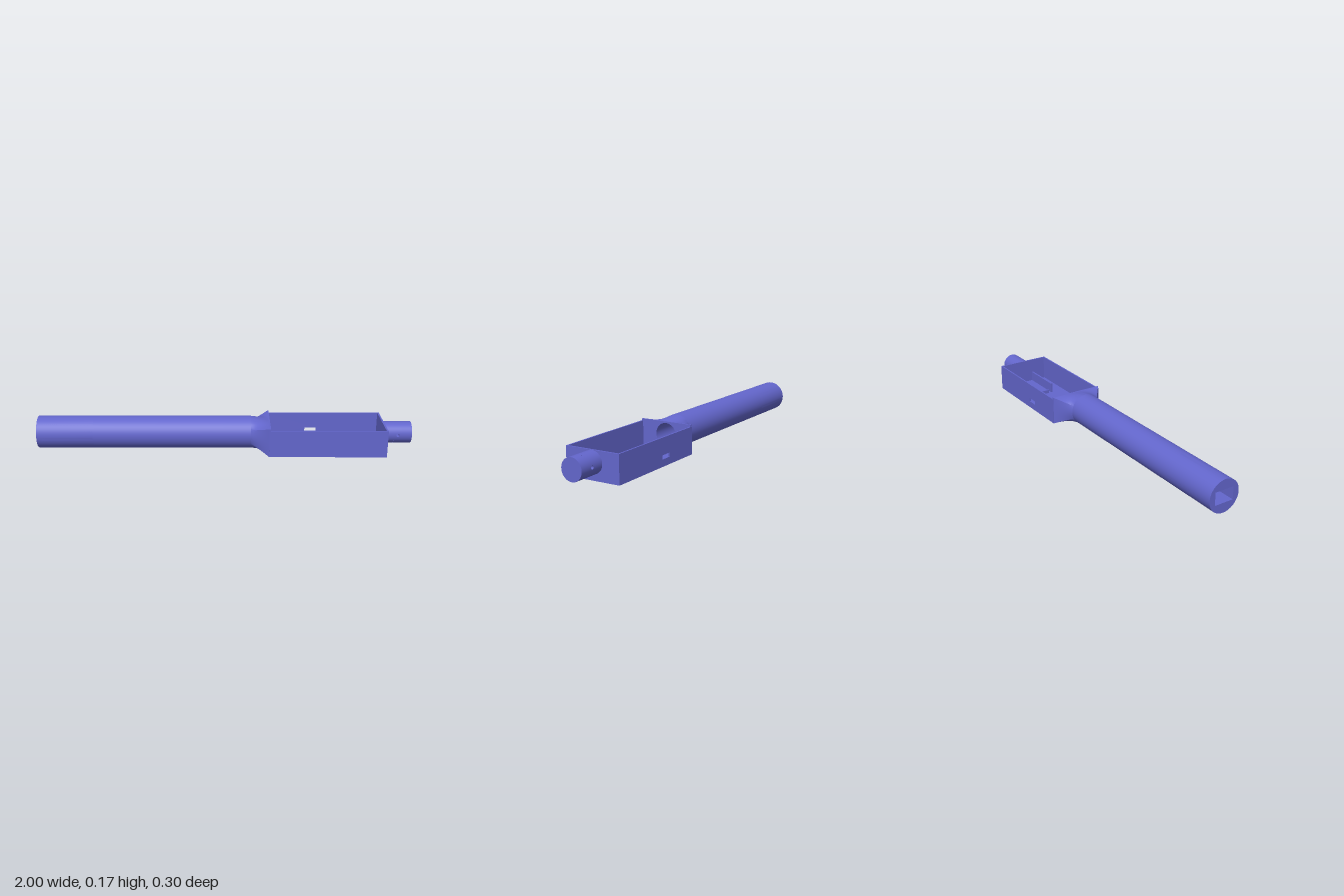
import * as THREE from 'three';
import { toCreasedNormals } from 'three/addons/utils/BufferGeometryUtils.js';

const CY = 0.087;        // height of the long axis
const R = 0.086;         // handle radius
const PEG = 0.057;       // peg radius
const blue = new THREE.MeshStandardMaterial({ color: 0x6366cc, side: THREE.DoubleSide });
blue.name = 'blue';

export function createModel() {
  const model = new THREE.Group();
  model.name = 'handleWithTray';

  const add = (name, geometry, parent = model) => {
    const mesh = new THREE.Mesh(geometry, blue);
    mesh.name = name;
    parent.add(mesh);
    return mesh;
  };
  const box = (name, x0, x1, y0, y1, z0, z1) => add(name,
    new THREE.BoxGeometry(x1 - x0, y1 - y0, z1 - z0)
      .translate((x0 + x1) / 2, (y0 + y1) / 2, (z0 + z1) / 2));
  // open cylinder along x
  const tube = (r, x0, x1, start = 0, sweep = Math.PI * 2) =>
    new THREE.CylinderGeometry(r, r, x1 - x0, 64, 1, true, start, sweep)
      .rotateZ(-Math.PI / 2).translate((x0 + x1) / 2, CY, 0);
  // shape drawn across the axis, extruded along x
  const plateX = (shape, x0, x1) =>
    toCreasedNormals(new THREE.ExtrudeGeometry(shape,
      { depth: x1 - x0, bevelEnabled: false, curveSegments: 32 }), 0.5)
      .rotateY(Math.PI / 2).translate(x0, 0, 0);
  const rect = (Type, x0, x1, y0, y1) => new Type([
    new THREE.Vector2(x0, y0), new THREE.Vector2(x1, y0),
    new THREE.Vector2(x1, y1), new THREE.Vector2(x0, y1)]);

  // handle with a rectangular channel at its end and a round bore behind it
  add('handle', tube(R, -1, 0.14));
  const end = new THREE.Shape().absarc(0, CY, R, 0, Math.PI * 2);
  end.holes.push(rect(THREE.Path, -0.053, 0.053, CY - 0.034, CY + 0.034));
  add('handleEnd', plateX(end, -1, -0.7));
  add('bore', tube(0.06, -0.7, 0.235));

  // neck: round section turning into a rectangle
  const half = 0.148, up = 0.155 - CY, down = CY;
  const corners = [[half, up], [-half, up], [-half, -down], [half, -down]];
  const angles = corners.map(([z, y]) => (Math.atan2(y, z) + Math.PI * 2) % (Math.PI * 2));
  for (let i = 0; i < 64; i++) angles.push(i / 64 * Math.PI * 2);
  angles.sort((a, b) => a - b);
  const steps = 8, pos = [], index = [], n = angles.length;
  for (let s = 0; s <= steps; s++) {
    const t = s / steps, k = Math.pow(t, 1.15);
    for (const a of angles) {
      const c = Math.cos(a), v = Math.sin(a);
      const edge = Math.min(half / Math.max(Math.abs(c), 1e-6),
        (v > 0 ? up : down) / Math.max(Math.abs(v), 1e-6));
      const r = R + (edge - R) * k;
      pos.push(0.14 + 0.095 * t, CY + v * r, c * r);
    }
  }
  for (let s = 0; s < steps; s++) for (let i = 0; i < n; i++) {
    const a = s * n + i, b = s * n + (i + 1) % n;
    index.push(a, b, a + n, b, b + n, a + n);
  }
  const neck = new THREE.BufferGeometry();
  neck.setAttribute('position', new THREE.Float32BufferAttribute(pos, 3));
  neck.setIndex(index);
  add('neck', toCreasedNormals(neck, 0.5));

  // wall between neck and tray, with the round bore opening
  const wall = rect(THREE.Shape, -half, half, 0, 0.155);
  wall.holes.push(new THREE.Path().absarc(0, CY, 0.06, 0, Math.PI * 2));
  add('neckWall', plateX(wall, 0.235, 0.243));

  // open tray
  box('trayFloor', 0.235, 0.855, 0, 0.01, -0.15, 0.15);
  box('trayEnd', 0.846, 0.855, 0, 0.145, -0.15, 0.15);
  box('trayFrontWall', 0.235, 0.855, 0, 0.145, 0.142, 0.15);
  const back = rect(THREE.Shape, 0.235, 0.855, 0, 0.145);
  back.holes.push(rect(THREE.Path, 0.445, 0.508, 0.037, 0.058));
  add('trayBackWall', new THREE.ExtrudeGeometry(back, { depth: 0.008, bevelEnabled: false })
    .translate(0, 0, -0.15));

  // guide ribs and low stop inside the tray
  for (const side of [-1, 1])
    box('guideRib', 0.61, 0.846, 0.01, 0.065, side * 0.06 - 0.005, side * 0.06 + 0.005);
  box('stop', 0.607, 0.613, 0.01, 0.03, -0.038, 0.038);

  // peg with a cross hole
  const peg = new THREE.Group();
  peg.name = 'peg';
  model.add(peg);
  const hx = 0.925, hr = 0.009, sq = 0.02, a = Math.asin(sq / PEG);
  add('pegBase', tube(PEG, 0.855, hx - sq), peg);
  add('pegTip', tube(PEG, hx + sq, 1), peg);
  for (const start of [a, Math.PI + a])
    add('pegMiddle', tube(PEG, hx - sq, hx + sq, start, Math.PI - 2 * a), peg);
  add('pegCap', new THREE.CircleGeometry(PEG, 64).rotateY(Math.PI / 2).translate(1, CY, 0), peg);
  // square patch with a round hole, wrapped on the peg surface
  for (const side of [-1, 1]) {
    const patch = new THREE.PlaneGeometry(1, 1, 32, 4), p = patch.attributes.position;
    const normal = patch.attributes.normal;
    for (let i = 0; i < p.count; i++) {
      const ang = (p.getX(i) + 0.5) * Math.PI * 2 * side, t = 0.5 - p.getY(i);
      const c = Math.cos(ang), s = Math.sin(ang);
      const r = hr + (sq / Math.max(Math.abs(c), Math.abs(s)) - hr) * (1 - t);
      const y = s * r, z = side * Math.sqrt(PEG * PEG - y * y);
      p.setXYZ(i, hx + c * r, CY + y, z);
      normal.setXYZ(i, 0, y / PEG, z / PEG);
    }
    // keep faces turned outward
    const id = patch.index.array;
    for (let i = 0; i < id.length; i += 3) {
      const [A, B, C] = [0, 1, 2].map(k => new THREE.Vector3().fromBufferAttribute(p, id[i + k]));
      if (B.sub(A).cross(C.sub(A)).z * side < 0) [id[i + 1], id[i + 2]] = [id[i + 2], id[i + 1]];
    }
    add('pegHolePatch', patch, peg);
  }
  add('pegHole', new THREE.CylinderGeometry(hr, hr, PEG * 1.97, 32, 1, true)
    .rotateX(Math.PI / 2).translate(hx, CY, 0), peg);

  return model;
}
